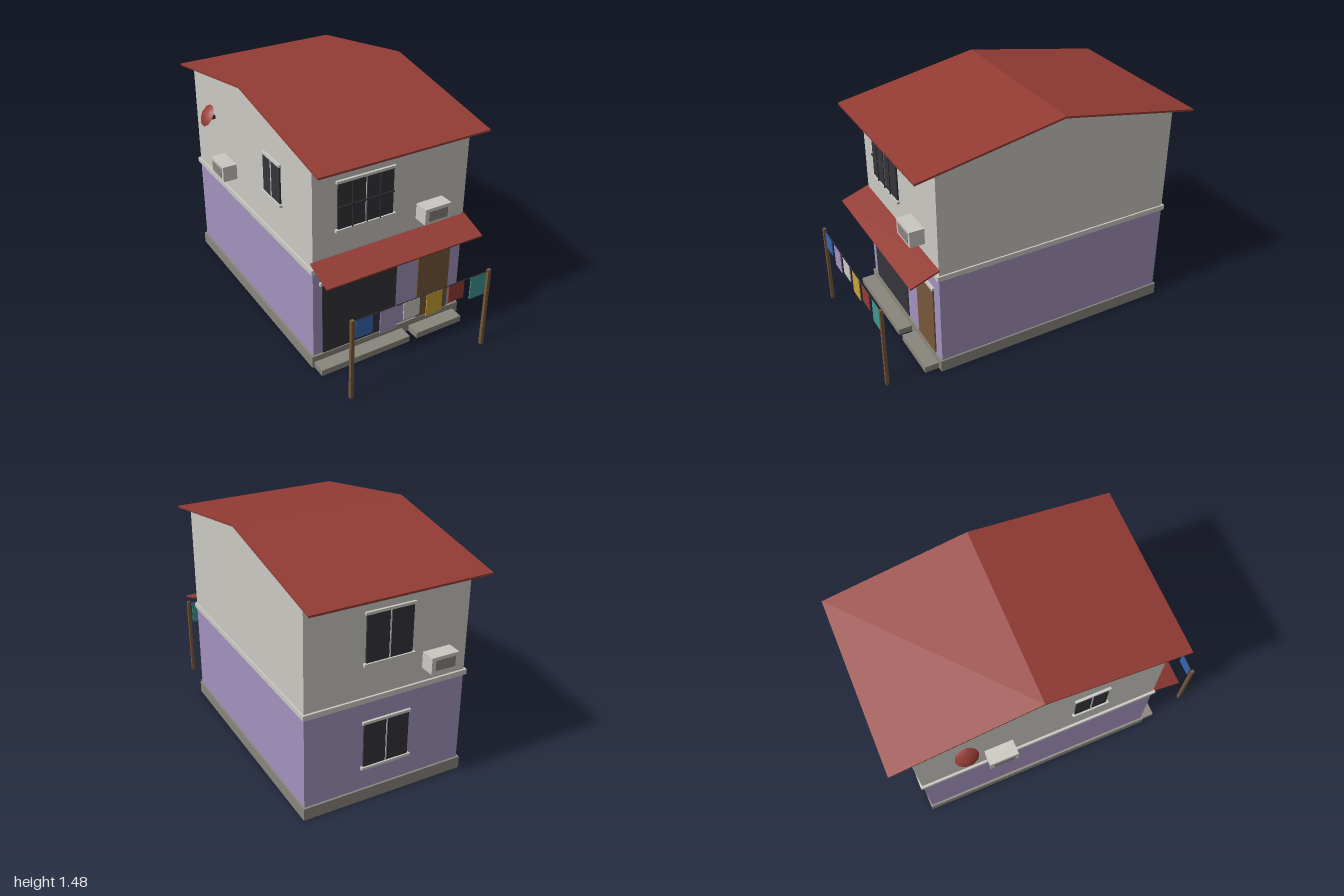
import * as THREE from 'three';

const mat = (name, color, side = THREE.FrontSide) => {
  const m = new THREE.MeshStandardMaterial({ color, side });
  m.name = name;
  return m;
};

export function createModel() {
  const M = {
    plaster: mat('pale plaster', 0xcbc9c3),
    lilac: mat('lilac paint', 0xa393be),
    red: mat('roof red', 0x943c35, THREE.DoubleSide),
    dark: mat('dark glass', 0x35343b),
    stone: mat('plinth stone', 0x8a867d),
    wood: mat('brown wood', 0x77583a),
    grille: mat('vent grey', 0x8b8381),
    blue: mat('blue cloth', 0x3566b2),
    yellow: mat('yellow cloth', 0xc9a237),
    teal: mat('teal cloth', 0x3f9891),
  };
  const house = new THREE.Group();
  house.name = 'house';

  // Box given by its extents on each axis
  const box = (parent, name, m, [x0, x1], [y0, y1], [z0, z1]) => {
    const mesh = new THREE.Mesh(new THREE.BoxGeometry(x1 - x0, y1 - y0, z1 - z0), m);
    mesh.position.set((x0 + x1) / 2, (y0 + y1) / 2, (z0 + z1) / 2);
    mesh.name = name;
    parent.add(mesh);
    return mesh;
  };
  // Side profile of [z, y] points, extruded along x
  const profile = (name, m, pts, x0, x1) => {
    const shape = new THREE.Shape(pts.map(([z, y]) => new THREE.Vector2(-z, y)));
    const geo = new THREE.ExtrudeGeometry(shape, { depth: x1 - x0, bevelEnabled: false });
    geo.rotateY(Math.PI / 2);
    geo.translate(x0, 0, 0);
    const mesh = new THREE.Mesh(geo, m);
    mesh.name = name;
    house.add(mesh);
  };
  // Group on a wall, local +z pointing outwards
  const onWall = (name, x, y, z, turn) => {
    const g = new THREE.Group();
    g.name = name;
    g.position.set(x, y, z);
    g.rotation.y = turn;
    house.add(g);
    return g;
  };

  const L = -0.484, R = 0.539, F = 0.66, B = -0.87, RIDGE = -0.105, MID = 0.0275;

  // Main storeys, plinth and string course
  box(house, 'groundFloor', M.lilac, [L, R], [0, 0.655], [B, F]);
  box(house, 'plinth', M.stone, [-0.498, 0.549], [0.001, 0.078], [-0.883, 0.672]);
  box(house, 'floorBand', M.plaster, [-0.498, 0.549], [0.65, 0.682], [-0.883, 0.672]);
  profile('upperFloor', M.plaster,
    [[F, 0.67], [F, 1.33], [RIDGE, 1.471], [B, 1.33], [B, 0.67]], L, R);
  box(house, 'shopStep', M.stone, [L, 0.126], [0, 0.04], [0.66, 0.76]);
  box(house, 'doorStep', M.stone, [0.178, 0.51], [0, 0.04], [0.66, 0.76]);

  // Gable roof and front canopy
  profile('roof', M.red, [[0.79, 1.32], [RIDGE, 1.484], [-1, 1.32], [-1, 1.308],
    [RIDGE, 1.472], [0.79, 1.308]], -0.522, 0.574);
  profile('canopy', M.red, [[F, 0.728], [0.838, 0.665], [0.836, 0.655], [F, 0.717]], -0.498, 0.549);

  // Shop opening and door
  box(house, 'shopOpening', M.dark, [-0.425, 0.075], [0.078, 0.562], [F, 0.666]);
  box(house, 'shopLintel', M.plaster, [-0.445, 0.088], [0.562, 0.58], [F, 0.676]);
  box(house, 'door', M.wood, [0.23, 0.46], [0.078, 0.537], [F, 0.668]);
  box(house, 'doorLintel', M.plaster, [0.218, 0.47], [0.537, 0.555], [F, 0.676]);

  // Windows with lintel, sill and centre mullion; optional bars
  const addWindow = (x, y, z, turn, w, h, bars) => {
    const g = onWall('window', x, y, z, turn);
    const a = w / 2, b = h / 2;
    box(g, 'glass', M.dark, [-a, a], [-b, b], [0, 0.01]);
    box(g, 'mullion', M.plaster, [-0.004, 0.004], [-b, b], [0, 0.013]);
    box(g, 'lintel', M.plaster, [-a - 0.01, a + 0.01], [b, b + 0.016], [0, 0.015]);
    box(g, 'sill', M.plaster, [-a - 0.015, a + 0.015], [-b - 0.016, -b], [0, 0.02]);
    if (!bars) return;
    for (const i of [-1, 0, 1]) {
      const c = i * w / 4 + (i ? 0 : 0.004);
      box(g, 'bar', M.dark, [c - 0.004, c + 0.004], [-b, b], [0.014, 0.02]);
    }
    box(g, 'crossBar', M.dark, [-a, a], [-0.004, 0.004], [0.014, 0.02]);
  };
  addWindow(-0.153, 1.035, F, 0, 0.356, 0.282, true);
  addWindow(MID, 1.037, B, Math.PI, 0.29, 0.284, false);
  addWindow(MID, 0.372, B, Math.PI, 0.29, 0.28, false);
  addWindow(L, 1.035, 0.21, -Math.PI / 2, 0.2, 0.235, false);

  // Air conditioners
  const addCooler = (x, y, z, turn) => {
    const g = onWall('airConditioner', x, y, z, turn);
    box(g, 'case', M.plaster, [-0.089, 0.089], [-0.05, 0.05], [-0.005, 0.091]);
    box(g, 'vent', M.grille, [-0.065, 0.065], [-0.032, 0.032], [0.088, 0.094]);
  };
  addCooler(0.282, 0.847, F, 0);
  addCooler(-0.283, 0.817, B, Math.PI);
  addCooler(L, 0.847, -0.37, -Math.PI / 2);

  // Dish on the side wall, a shallow dome tilted outwards and up
  box(house, 'dishBracket', M.dark, [-0.543, L], [1.092, 1.113], [-0.584, -0.563]);
  const dome = new THREE.LatheGeometry([[0, 0.024], [0.03, 0.02], [0.055, 0.011], [0.072, 0]]
    .reverse().map(([r, y]) => new THREE.Vector2(r, y)), 10);
  const dish = new THREE.Mesh(dome, M.red);
  dish.name = 'dish';
  dish.position.set(-0.535, 1.123, -0.573);
  dish.rotation.z = Math.PI / 3;
  house.add(dish);

  // Washing line
  for (const x of [-0.433, 0.486])
    box(house, 'linePole', M.wood, [x - 0.01, x + 0.01], [0, 0.54], [0.98, 1]);
  box(house, 'line', M.dark, [-0.433, 0.486], [0.526, 0.531], [0.988, 0.992]);
  [M.blue, M.lilac, M.plaster, M.yellow, M.red, M.teal].forEach((m, i) => {
    const x = -0.357 + i * 0.1535;
    box(house, 'cloth', m, [x - 0.053, x + 0.053], [i % 2 ? 0.378 : 0.412, 0.527], [0.987, 0.993]);
  });

  return house;
}
